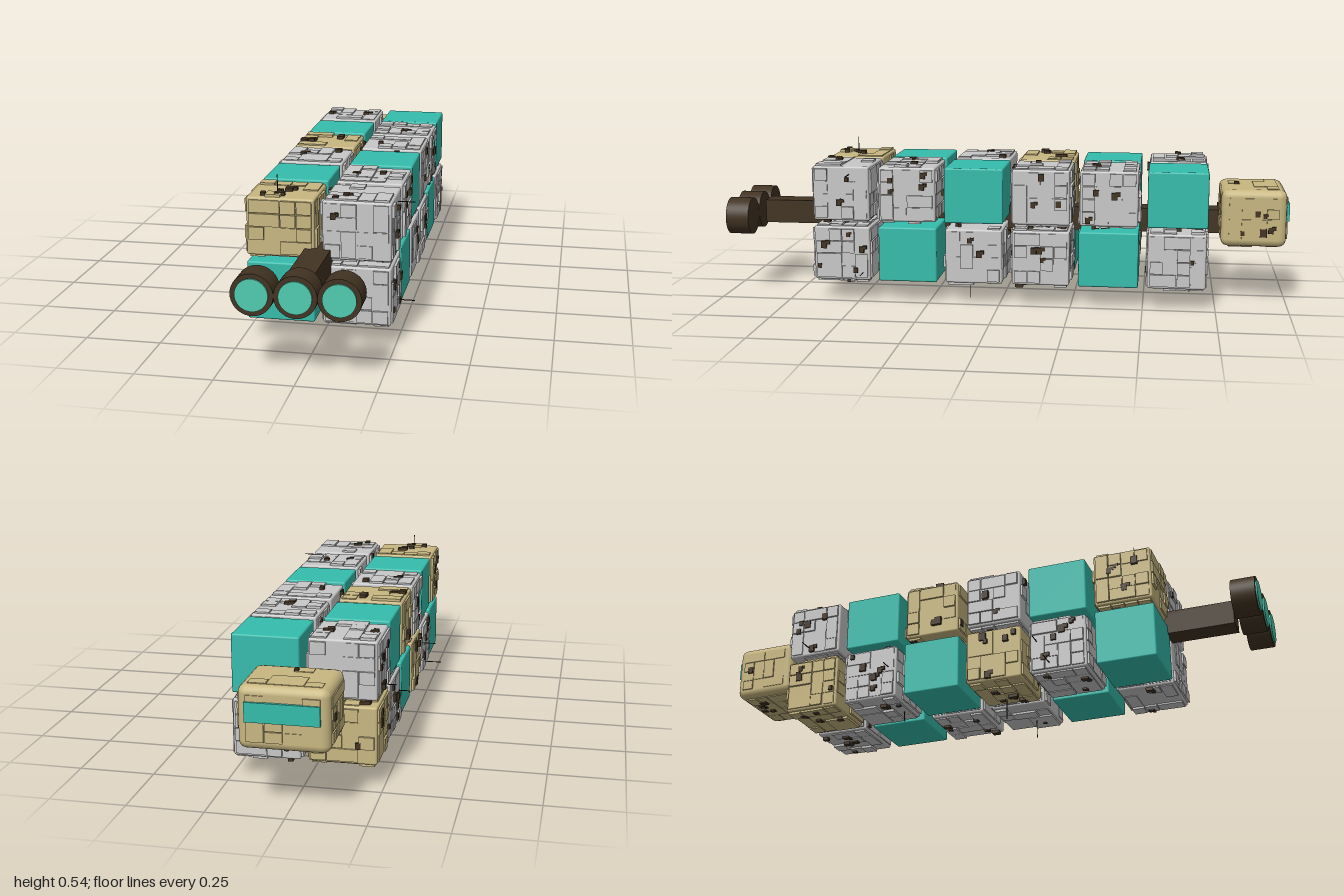
import * as THREE from 'three';
import { mergeGeometries } from 'three/addons/utils/BufferGeometryUtils.js';
import { RoundedBoxGeometry } from 'three/addons/geometries/RoundedBoxGeometry.js';

const material = (name, color) => {
  const m = new THREE.MeshStandardMaterial({ color });
  m.name = name;
  return m;
};

export function createModel() {
  const model = new THREE.Group();
  model.name = 'modularSpaceship';
  const grey = material('hull grey', 0xc8c8c9);
  const tan = material('hull tan', 0xc8b781);
  const teal = material('cargo teal', 0x35bcac);
  const brown = material('dark brown', 0x423322);
  const glow = material('engine glow teal', 0x50ccb0);
  const wire = material('antenna black', 0x1c1712);

  let seed = 7;
  const rnd = () => {
    seed = (seed * 16807) % 2147483647;
    return seed / 2147483647;
  };
  const add = (parent, name, geometry, mat, x = 0, y = 0, z = 0) => {
    const mesh = new THREE.Mesh(geometry, mat);
    mesh.name = name;
    mesh.position.set(x, y, z);
    parent.add(mesh);
    return mesh;
  };

  // Six faces of a box: rotation plus indices of width, height and depth axes
  const faces = [
    { rot: [0, 0, 0], dims: [0, 1, 2], end: true },
    { rot: [0, Math.PI, 0], dims: [0, 1, 2], end: true },
    { rot: [0, Math.PI / 2, 0], dims: [2, 1, 0] },
    { rot: [0, -Math.PI / 2, 0], dims: [2, 1, 0] },
    { rot: [-Math.PI / 2, 0, 0], dims: [0, 2, 1] },
    { rot: [Math.PI / 2, 0, 0], dims: [0, 2, 1] },
  ];

  // Raised plates on a 4 x 4 grid and small dark fittings on every face
  function platedBlock(name, size, radius, mat, x, y, z, lift = 0.009) {
    const group = new THREE.Group();
    group.name = name;
    group.position.set(x, y, z);
    model.add(group);
    add(group, 'blockCore', new RoundedBoxGeometry(...size, 2, radius), mat);
    const plates = [];
    const fittings = [];
    for (const { rot, dims, end } of faces) {
      const [w, h, d] = dims.map((i) => size[i]);
      const turn = new THREE.Matrix4().makeRotationFromEuler(new THREE.Euler(...rot));
      const put = (list, px, py, pw, ph, height) => {
        const g = new THREE.BoxGeometry(pw, ph, height + 0.004);
        g.translate(px, py, d / 2 + height / 2 - 0.002);
        list.push(g.applyMatrix4(turn));
      };
      const cw = (w - 2 * radius) / 4;
      const ch = (h - 2 * radius) / 4;
      const used = new Set();
      for (let j = 0; j < 4; j++) {
        for (let i = 0; i < 4; i++) {
          if (used.has(j * 4 + i)) continue;
          let nx = rnd() < 0.35 && i < 3 && !used.has(j * 4 + i + 1) ? 2 : 1;
          const ny = rnd() < 0.3 && j < 3 ? 2 : 1;
          for (let a = 0; a < nx; a++)
            for (let b = 0; b < ny; b++) used.add((j + b) * 4 + i + a);
          if (rnd() < 0.3) continue;
          put(plates, -w / 2 + radius + (i + nx / 2) * cw, -h / 2 + radius + (j + ny / 2) * ch,
            nx * cw - 0.003, ny * ch - 0.003, lift * (0.25 + 0.75 * rnd()));
        }
      }
      const count = end ? Math.floor(rnd() * 2) : 1 + Math.floor(rnd() * 5);
      for (let k = 0; k < count; k++) {
        const px = (rnd() - 0.5) * (w - 2 * radius - 0.02);
        const py = (rnd() - 0.5) * (h - 2 * radius - 0.02);
        const s = 0.012 + 0.012 * rnd();
        put(fittings, px, py, s, s * 1.2, lift + 0.002);
        if (rnd() < 0.5) put(fittings, px + s * 0.6, py + s * 0.4, s * 0.8, s * 0.7, lift + 0.001);
      }
    }
    add(group, 'hullPlates', mergeGeometries(plates), mat);
    if (fittings.length) add(group, 'darkFittings', mergeGeometries(fittings), brown);
  }

  // Two by two columns of blocks, listed from front to back
  const columns = [
    { name: 'upperRight', x: -0.118, y: 0.384, kinds: 'TCGTCG' },
    { name: 'upperLeft', x: 0.128, y: 0.384, kinds: 'GGCGGC' },
    { name: 'lowerRight', x: -0.118, y: 0.17, kinds: 'CGTCGT' },
    { name: 'lowerLeft', x: 0.128, y: 0.17, kinds: 'GCGGCG' },
  ];
  for (const { name, x, y, kinds } of columns) {
    [...kinds].forEach((kind, i) => {
      const z = 0.56 - 0.235 * i;
      if (kind === 'C') {
        add(model, name + 'CargoBox', new RoundedBoxGeometry(0.22, 0.194, 0.207, 2, 0.006), teal, x, y, z);
      } else {
        platedBlock(name + 'HullBlock', [0.22, 0.192, 0.2], 0.007, kind === 'T' ? tan : grey, x, y, z);
      }
    });
  }

  // Central spine joining cabin and blocks
  add(model, 'spine', new THREE.BoxGeometry(0.084, 0.084, 1.69), brown, 0.003, 0.278, 0.05);

  // Rounded cabin with a wide window at the back end
  platedBlock('cabin', [0.282, 0.2, 0.225], 0.026, tan, 0.003, 0.308, -0.8775, 0.006);
  add(model, 'cabinWindow', new THREE.BoxGeometry(0.23, 0.062, 0.0095), teal, 0.004, 0.33, -0.99525);

  // Row of three engines with glowing discs
  for (const x of [-0.126, 0.006, 0.138]) {
    const can = new THREE.CylinderGeometry(0.066, 0.066, 0.082, 40).rotateX(Math.PI / 2);
    add(model, 'engine', can, brown, x, 0.278, 0.954);
    const disc = new THREE.CylinderGeometry(0.051, 0.051, 0.006, 40).rotateX(Math.PI / 2);
    add(model, 'engineGlow', disc, glow, x, 0.278, 0.997);
  }

  // Thin antennas: start and end points
  const antennas = [
    [-0.143, 0.48, 0.585, -0.143, 0.537, 0.585],
    [0.23, 0.452, 0.53, 0.295, 0.452, 0.53],
    [0.23, 0.102, 0.485, 0.291, 0.102, 0.485],
    [-0.22, 0.102, 0.295, -0.298, 0.102, 0.295],
    [-0.22, 0.19, 0.25, -0.28, 0.19, 0.25],
    [-0.22, 0.188, -0.31, -0.268, 0.188, -0.31],
    [-0.22, 0.321, -0.64, -0.275, 0.321, -0.64],
    [0.156, 0.08, 0.115, 0.156, 0, 0.115],
    [-0.041, 0.08, 0.07, -0.041, 0.004, 0.07],
    [-0.092, 0.08, -0.305, -0.092, 0.028, -0.305],
  ];
  for (const [x0, y0, z0, x1, y1, z1] of antennas) {
    const t = 0.0025;
    const rod = new THREE.BoxGeometry(Math.abs(x1 - x0) || t, Math.abs(y1 - y0) || t, t);
    add(model, 'antenna', rod, wire, (x0 + x1) / 2, (y0 + y1) / 2, (z0 + z1) / 2);
  }
  return model;
}
